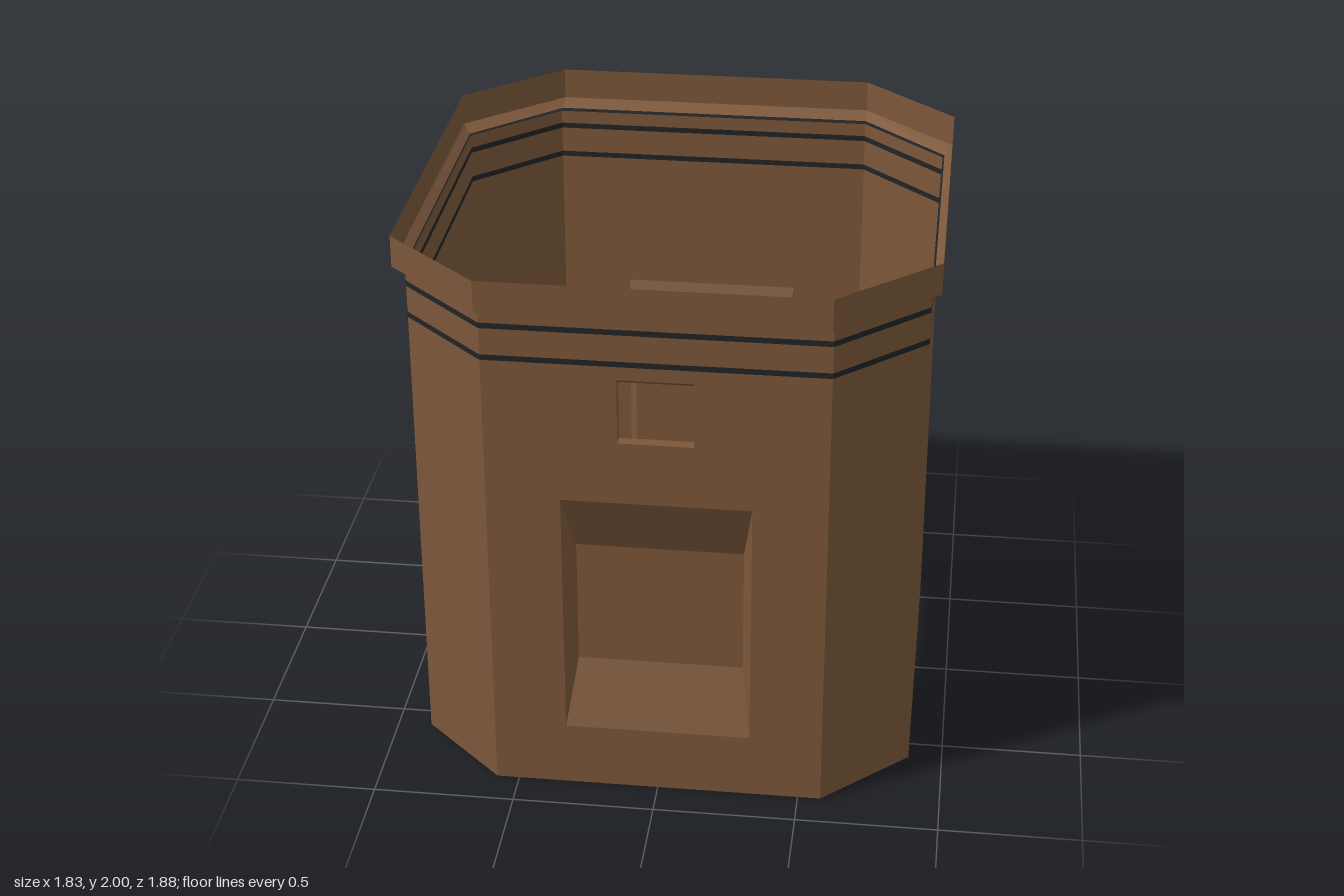
import * as THREE from 'three';

const V = (x, y, z) => new THREE.Vector3(x, y, z);

// Flat-faced strip joining a list of closed rings that have equal point counts
function loft(...rings) {
  const pts = [];
  for (let k = 0; k < rings.length - 1; k++) {
    const a = rings[k], b = rings[k + 1];
    for (let i = 0; i < a.length; i++) {
      const j = (i + 1) % a.length;
      pts.push(a[i], a[j], b[j], a[i], b[j], b[i]);
    }
  }
  const g = new THREE.BufferGeometry().setFromPoints(pts);
  g.computeVertexNormals();
  return g;
}

// Eight-sided outline at height y: half width, flat-edge half width, front/back depths and their corner depths
function octagon(y, x, cx, zf, zb, czf, czb) {
  return [
    V(-cx, y, zf), V(cx, y, zf), V(x, y, czf), V(x, y, -czb),
    V(cx, y, -zb), V(-cx, y, -zb), V(-x, y, -czb), V(-x, y, czf),
  ];
}
const wallRing = (y, d = 0) =>
  octagon(y, 0.88 + d, 0.58 + d * 0.4, 0.868 + d, 0.86 + d, 0.583 + d * 0.4, 0.572 + d * 0.4);

const rect = (x, y0, y1, z) => [V(-x, y0, z), V(x, y0, z), V(x, y1, z), V(-x, y1, z)];

export function createModel() {
  const brown = new THREE.MeshStandardMaterial({ color: 0x7c573a, side: THREE.DoubleSide });
  brown.name = 'brown';
  const black = new THREE.MeshStandardMaterial({ color: 0x212325, side: THREE.DoubleSide });
  black.name = 'black';

  const model = new THREE.Group();
  model.name = 'bin';
  const add = (parent, name, geometry, material) => {
    const mesh = new THREE.Mesh(geometry, material);
    mesh.name = name;
    parent.add(mesh);
    return mesh;
  };

  const wallTop = 1.865;

  // Side and corner walls: three panels on each side
  const low = wallRing(0), high = wallRing(wallTop);
  for (const [name, start] of [['leftWall', 1], ['rightWall', 5]]) {
    const pts = [];
    for (let i = start; i < start + 3; i++) {
      const j = (i + 1) % 8;
      pts.push(low[i], low[j], high[j], low[i], high[j], high[i]);
    }
    const g = new THREE.BufferGeometry().setFromPoints(pts);
    g.computeVertexNormals();
    add(model, name, g, brown);
  }

  // Front and back panels with sunken pockets; the front one also has a window
  const hole = (x, y0, y1) => new THREE.Path(rect(x, y0, y1, 0).map(p => new THREE.Vector2(p.x, p.y)));
  for (const side of ['front', 'back']) {
    const front = side === 'front';
    const z = front ? 0.868 : 0.86;
    const panel = new THREE.Group();
    panel.name = side + 'Panel';
    if (!front) panel.rotation.y = Math.PI;
    model.add(panel);

    const shape = new THREE.Shape(rect(0.58, 0, wallTop, 0).map(p => new THREE.Vector2(p.x, p.y)));
    shape.holes.push(hole(0.325, 0.24, 1.165));
    if (front) shape.holes.push(hole(0.128, 1.395, 1.632));
    add(panel, side + 'Wall', new THREE.ShapeGeometry(shape), brown).position.z = z;

    const depth = 0.097;
    add(panel, side + 'PocketSides',
      loft(rect(0.325, 0.24, 1.165, z), rect(0.29, 0.47, 0.935, z - depth)), brown);
    add(panel, side + 'PocketFloor', new THREE.PlaneGeometry(0.58, 0.465), brown)
      .position.set(0, 0.7025, z - depth);

    // Open window tunnel with a sloping top
    if (front) {
      add(panel, 'windowFrame',
        loft(rect(0.128, 1.395, 1.632, z), rect(0.128, 1.395, 1.605, z - 0.04)), brown);
    }
  }

  // Seal ledge and flared rim
  const seal = octagon(wallTop, 0.886, 0.58, 0.887, 0.89, 0.592, 0.592);
  add(model, 'sealLedge', loft(wallRing(wallTop), seal), black);
  add(model, 'rim', loft(
    seal,
    octagon(1.887, 0.915, 0.58, 0.94, 0.945, 0.63, 0.635),
    octagon(2, 0.915, 0.58, 0.94, 0.945, 0.63, 0.635)), brown);

  // Two thin stripes, showing on both faces of the wall
  [1.807, 1.691].forEach((y, i) => {
    for (const [face, d] of [['outer', 0.002], ['inner', -0.002]]) {
      add(model, `${face}Stripe${i + 1}`, loft(wallRing(y - 0.01, d), wallRing(y + 0.01, d)), black);
    }
  });

  return model;
}
